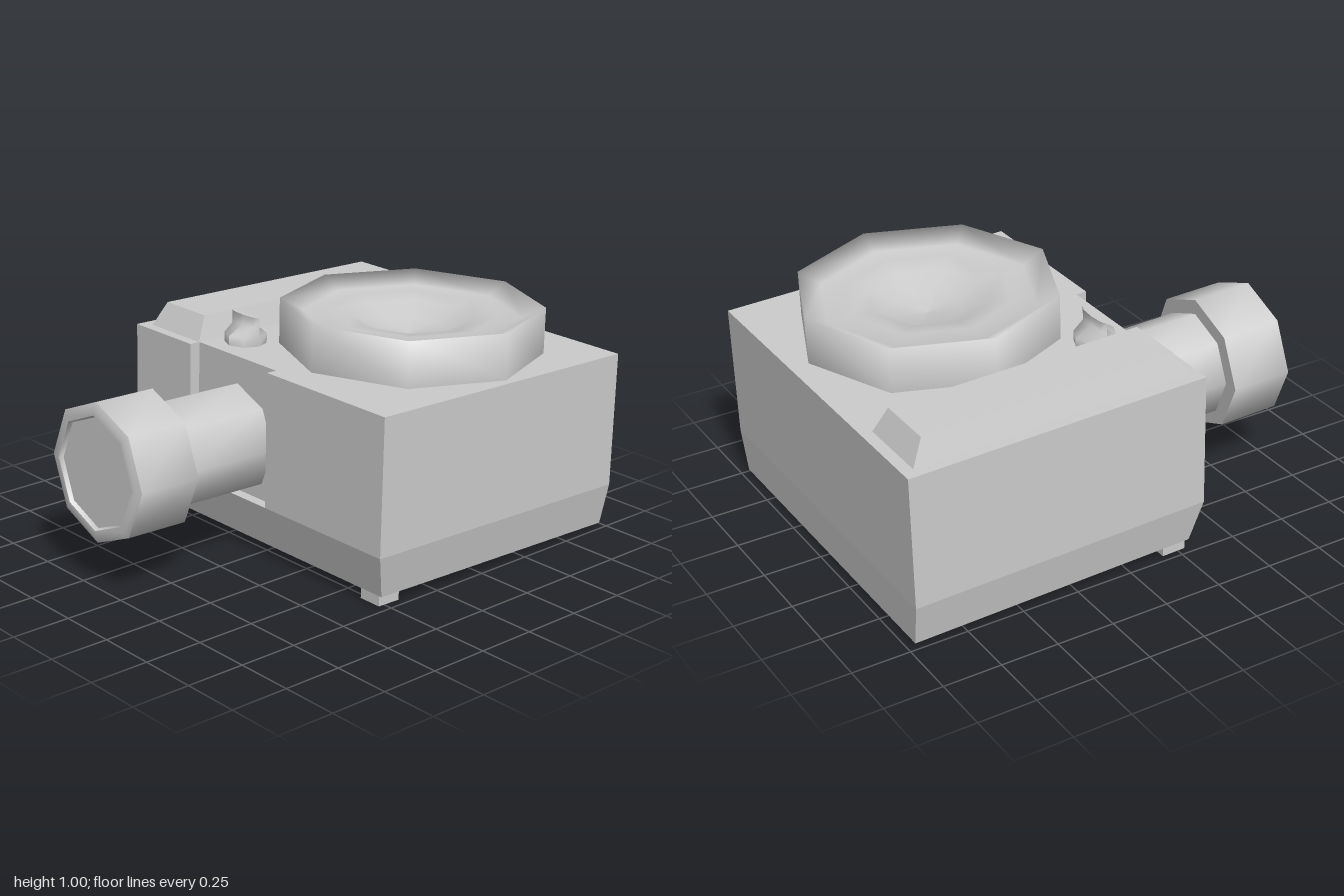
import * as THREE from 'three';
import { toCreasedNormals } from 'three/addons/utils/BufferGeometryUtils.js';

const grey = new THREE.MeshStandardMaterial({ color: 0xcccccc, side: THREE.DoubleSide });

function addPart(parent, name, geometry, x = 0, y = 0, z = 0) {
  const mesh = new THREE.Mesh(geometry, grey);
  mesh.name = name;
  mesh.position.set(x, y, z);
  parent.add(mesh);
  return mesh;
}

// Box whose bottom and top rectangles are given as [x0, x1, z0, z1]
function taperedBox(bottom, top, y0, y1) {
  const geo = new THREE.BoxGeometry(1, 1, 1);
  const p = geo.attributes.position;
  for (let i = 0; i < p.count; i++) {
    const r = p.getY(i) > 0 ? top : bottom;
    p.setXYZ(i, p.getX(i) > 0 ? r[1] : r[0], p.getY(i) > 0 ? y1 : y0, p.getZ(i) > 0 ? r[3] : r[2]);
  }
  geo.computeVertexNormals();
  return geo;
}

// Eight-sided turned part from [radius, height] pairs
const turned = (points) => new THREE.LatheGeometry(points.map(([r, h]) => new THREE.Vector2(r, h)), 8);

export function createModel() {
  const model = new THREE.Group();
  model.name = 'projector';
  const body = new THREE.Group();
  body.name = 'tiltedBody';
  body.rotation.x = -0.027; // raised slightly on its front feet
  model.add(body);

  // Casing: tapered lower part and an upper part with a notch for the lens
  const floor = 0.226, top = 0.8, back = -0.976, front = 0.337;
  addPart(body, 'lowerCasing', toCreasedNormals(
    taperedBox([-0.735, 0.735, -0.97, 0.29], [-0.77, 0.77, back, front], 0.043, floor), 0.5));
  const plan = new THREE.Shape([
    [-0.77, front], [-0.405, front], [-0.405, 0.29], [0.085, 0.29],
    [0.085, front], [0.77, front], [0.77, back], [-0.77, back],
  ].map(([x, z]) => new THREE.Vector2(x, -z)));
  const upper = new THREE.ExtrudeGeometry(plan, { depth: top - floor, bevelEnabled: false });
  upper.rotateX(-Math.PI / 2);
  addPart(body, 'upperCasing', upper, 0, floor, 0);

  // Lens barrel with a wider end ring and slightly sunken glass
  const lens = turned([
    [0.228, 0.28], [0.228, 0.722], [0.293, 0.722], [0.293, 0.995],
    [0.265, 1.007], [0.24, 1.007], [0.232, 0.99], [0, 0.99],
  ]);
  lens.rotateX(Math.PI / 2);
  addPart(body, 'lens', toCreasedNormals(lens, 0.9), -0.155, 0.457, 0);

  // Large dished dial on the top
  addPart(body, 'dial', turned([
    [0.545, 0], [0.545, 0.194], [0.45, 0.148], [0.35, 0.15],
    [0.255, 0.135], [0.15, 0.085], [0, 0.065],
  ]), 0.19, top, -0.35);

  // Long raised ridge
  addPart(body, 'topRidge', taperedBox(
    [-0.722, -0.403, -0.93, 0.295], [-0.685, -0.435, -0.87, 0.24], top - 0.005, 0.899));

  // Turn knob pinched into a fin at its upper end
  const knob = new THREE.CylinderGeometry(0.088, 0.088, 0.12, 8, 3);
  const p = knob.attributes.position;
  for (let i = 0; i < p.count; i++) if (p.getY(i) > 0) p.setZ(i, p.getZ(i) * 0.2);
  knob.computeVertexNormals();
  addPart(body, 'knob', knob, -0.293, top + 0.06, 0.135);

  // Front feet
  for (const x of [-0.667, 0.66]) {
    addPart(body, 'frontFoot', new THREE.BoxGeometry(0.105, 0.06, 0.105), x, 0.024, 0.228);
  }
  return model;
}
